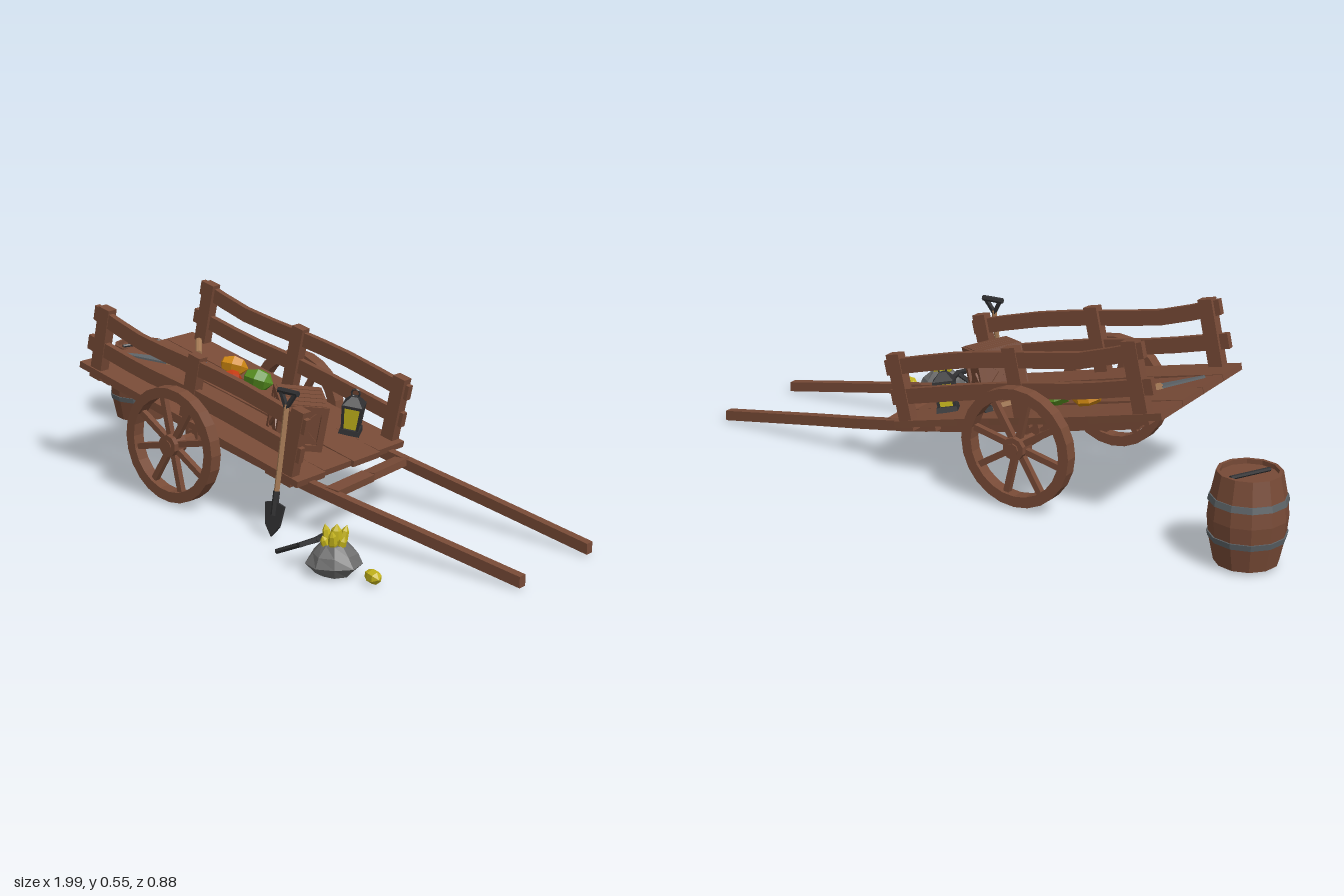
import * as THREE from 'three';

const mat = (name, color) => Object.assign(new THREE.MeshStandardMaterial({ color }), { name });
const V = (x, y, z) => new THREE.Vector3(x, y, z);

export function createModel() {
  const root = new THREE.Group();
  root.name = 'miningCart';
  const wood = mat('wood', 0x774a36), paleWood = mat('paleWood', 0xa57a55);
  const iron = mat('darkIron', 0x303032), steel = mat('steel', 0x5c6266), stone = mat('stone', 0x6b6b6b);
  const yellow = mat('yellow', 0xc4b41c), blue = mat('blue', 0x2b76b8), orange = mat('orange', 0xcc850f);
  const red = mat('red', 0xc23a12), green = mat('green', 0x558c1e);

  // Adds a faceted mesh
  const add = (parent, name, geo, material, x = 0, y = 0, z = 0) => {
    const g = geo.index ? geo.toNonIndexed() : geo;
    g.computeVertexNormals();
    const m = new THREE.Mesh(g, material);
    m.name = name;
    m.position.set(x, y, z);
    parent.add(m);
    return m;
  };
  const box = (parent, name, w, h, d, material, x, y, z) =>
    add(parent, name, new THREE.BoxGeometry(w, h, d), material, x, y, z);
  const group = (parent, name, x = 0, y = 0, z = 0) => {
    const g = new THREE.Group();
    g.name = name;
    g.position.set(x, y, z);
    parent.add(g);
    return g;
  };
  // Centres an object between two points, its y axis along them
  const aim = (obj, a, b) => {
    obj.position.copy(a).add(b).multiplyScalar(0.5);
    obj.quaternion.setFromUnitVectors(V(0, 1, 0), b.clone().sub(a).normalize());
    return obj;
  };
  const strut = (parent, name, a, b, w, d, material) =>
    aim(box(parent, name, w, a.distanceTo(b), d, material), a, b);
  const rod = (parent, name, a, b, r, material, sides = 6) =>
    aim(add(parent, name, new THREE.CylinderGeometry(r, r, a.distanceTo(b), sides), material), a, b);
  // A board bent along a curve running in x
  const board = (parent, name, pts, h, w, material) => {
    const curve = new THREE.CatmullRomCurve3(pts.map(p => V(...p)));
    const g = new THREE.BoxGeometry(1, h, w, 8, 1, 1), p = g.attributes.position;
    for (let i = 0; i < p.count; i++) {
      const c = curve.getPoint(p.getX(i) + 0.5);
      p.setXYZ(i, c.x, c.y + p.getY(i), c.z + p.getZ(i));
    }
    return add(parent, name, g, material);
  };
  const lathe = (pts, sides) => new THREE.LatheGeometry(pts.map(p => new THREE.Vector2(...p)), sides);
  const outline = pts => new THREE.Shape(pts.map(p => new THREE.Vector2(...p)));
  const plate = (shape, depth, curveSegments = 12) => {
    const g = new THREE.ExtrudeGeometry(shape, { depth, bevelEnabled: false, curveSegments });
    return g.translate(0, 0, -depth / 2);
  };
  const crystal = (parent, name, a, b, r, material) => {
    const h = a.distanceTo(b);
    const g = lathe([[0, -h / 2], [r * 0.65, -h * 0.4], [r, -h * 0.05], [r * 0.8, h * 0.28], [0, h / 2]], 6);
    return aim(add(parent, name, g, material), a, b);
  };

  // Tilted cart body
  const cart = group(root, 'cartBody', -0.165, 0.25, -0.045);
  cart.rotation.z = -0.2165;
  [-0.19, -0.063, 0.064, 0.191].forEach((z, i) => {
    const e = i % 2 ? 0.004 : -0.004;
    board(cart, 'bedPlank', [[-0.456, 0, z], [-0.15, e / 2, z + e], [0.15, 0, z - e], [0.456 + e, 0, z]], 0.02, 0.124, wood);
  });
  for (const x of [-0.36, -0.02, 0.34]) box(cart, 'bedCrossBeam', 0.04, 0.022, 0.46, wood, x, -0.02, 0);
  for (const s of [-1, 1]) {
    const z = s * 0.236;
    for (const x of [-0.39, 0, 0.41]) box(cart, 'sidePost', 0.045, 0.235, 0.034, wood, x, 0.095, s * 0.232);
    board(cart, 'topRail', [[-0.43, 0.185, z], [-0.23, 0.165, z], [0, 0.177, z], [0.2, 0.183, z], [0.445, 0.172, z]], 0.046, 0.02, wood);
    board(cart, 'lowerRail', [[-0.44, 0.083, z], [-0.2, 0.078, z], [0.05, 0.088, z], [0.445, 0.082, z]], 0.046, 0.02, wood);
    strut(cart, 'diagonalBrace', V(0.33, -0.025, s * 0.18), V(0, -0.025, s * 0.03), 0.025, 0.02, wood);
  }

  // Shafts and their crossbar
  for (const s of [-1, 1]) {
    const z = d => -0.045 + s * d;
    board(root, 'shaft', [[-0.52, 0.295, z(0.19)], [-0.1, 0.205, z(0.19)], [0.28, 0.132, z(0.189)],
      [0.63, 0.078, z(0.178)], [0.995, 0.021, z(0.165)]], 0.032, 0.027, wood);
  }
  for (const s of [-1, 1])
    strut(root, 'shaftCrossbar', V(0.34, 0.128, -0.045), V(0.34 + s * 0.015, 0.128, -0.045 + s * 0.185), 0.045, 0.022, wood);

  // Wheels and axle
  rod(root, 'axle', V(-0.175, 0.185, -0.36), V(-0.175, 0.185, 0.27), 0.018, wood, 8);
  for (const s of [-1, 1]) {
    const wheel = group(root, 'wheel', -0.175, 0.185, -0.044 + s * 0.286);
    const ring = new THREE.Shape().absarc(0, 0, 0.177, 0, Math.PI * 2);
    ring.holes.push(new THREE.Path().absarc(0, 0, 0.145, 0, Math.PI * 2, true));
    add(wheel, 'wheelRim', plate(ring, 0.04), wood);
    rod(wheel, 'wheelHub', V(0, 0, -0.025), V(0, 0, 0.025), 0.034, wood, 10);
    for (let i = 0; i < 8; i++) {
      const a = (i + 0.3) * Math.PI / 4, c = Math.cos(a), n = Math.sin(a);
      strut(wheel, 'spoke', V(c * 0.02, n * 0.02, 0), V(c * 0.15, n * 0.15, 0), 0.018, 0.018, wood);
    }
    box(root, 'axleBlock', 0.05, 0.06, 0.035, wood, -0.175, 0.215, -0.045 + s * 0.19);
  }

  // Crate with framed, cross-braced sides
  const crate = group(cart, 'crate', 0.268, 0.082, 0.055);
  crate.rotation.y = -0.68;
  box(crate, 'crateCore', 0.128, 0.138, 0.128, wood, 0, 0, 0);
  for (let i = 0; i < 4; i++) {
    const side = group(crate, 'crateSide');
    side.rotation.y = i * Math.PI / 2;
    for (const s of [-1, 1]) {
      box(side, 'crateFrame', 0.146, 0.02, 0.012, wood, 0, s * 0.062, 0.067);
      box(side, 'cratePost', 0.02, 0.144, 0.012, wood, s * 0.063, 0, 0.067);
      strut(side, 'crateBrace', V(-0.053, -s * 0.053, 0.066), V(0.053, s * 0.053, 0.066), 0.016, 0.008, wood);
    }
  }
  for (let i = -2; i <= 2; i++) box(crate, 'crateSlat', 0.024, 0.008, 0.13, wood, i * 0.028, 0.07, 0);

  // Lantern
  const lantern = group(cart, 'lantern', 0.322, 0.01, -0.148);
  lantern.rotation.set(0, 0.5, 0.05);
  const tier = (name, r0, r1, h, y, m) => {
    const g = new THREE.CylinderGeometry(r1, r0, h, 4).rotateY(Math.PI / 4);
    return add(lantern, name, g, m, 0, y, 0);
  };
  tier('lanternBase', 0.046, 0.042, 0.016, 0.008, iron);
  tier('lanternGlass', 0.029, 0.037, 0.07, 0.051, yellow);
  tier('lanternEave', 0.046, 0.046, 0.008, 0.09, iron);
  tier('lanternRoof', 0.044, 0.014, 0.025, 0.106, iron);
  for (const a of [1, 3, 5, 7]) {
    const c = Math.cos(a * Math.PI / 4), n = Math.sin(a * Math.PI / 4);
    strut(lantern, 'lanternBar', V(c * 0.032, 0.012, n * 0.032), V(c * 0.04, 0.09, n * 0.04), 0.008, 0.008, iron);
  }
  add(lantern, 'lanternRing', new THREE.TorusGeometry(0.013, 0.003, 4, 8), iron, 0, 0.128, 0);

  // Gems lying on the bed
  [['blueGem', blue, -0.235, -0.04, 0.09, 0.023, 1.0], ['orangeGem', orange, -0.16, -0.137, 0.092, 0.033, 0.5],
    ['redGem', red, -0.108, -0.073, 0.06, 0.025, 0.9], ['greenGem', green, -0.042, -0.122, 0.1, 0.037, 0.35]
  ].forEach(([name, m, x, z, len, r, a]) => {
    const dx = Math.cos(a) * len / 2, dz = -Math.sin(a) * len / 2;
    crystal(cart, name, V(x - dx, 0.008 + r * 0.8, z - dz), V(x + dx, 0.008 + r * 0.8, z + dz), r, m);
  });

  // Scroll, saw and hatchet on the bed
  rod(cart, 'scroll', V(-0.375, 0.022, -0.195), V(-0.3, 0.022, -0.118), 0.011, paleWood, 8);
  const saw = group(cart, 'handSaw', -0.355, 0.016, 0.035);
  saw.rotation.y = 0.72;
  const sawBlade = outline([[-0.085, -0.008], [0.045, -0.023], [0.045, 0.02], [-0.085, 0.005]]);
  add(saw, 'sawBlade', plate(sawBlade, 0.006).rotateX(-Math.PI / 2), steel);
  box(saw, 'sawHandle', 0.04, 0.014, 0.032, paleWood, 0.062, 0, 0);
  const axe = group(cart, 'hatchet', 0.125, 0.018, -0.13);
  axe.rotation.y = 0.9;
  box(axe, 'hatchetHandle', 0.145, 0.012, 0.013, paleWood, 0, 0, 0);
  const axeHead = outline([[0.045, -0.014], [0.07, -0.014], [0.07, 0.012], [0.082, 0.045], [0.034, 0.045], [0.045, 0.012]]);
  add(axe, 'hatchetHead', plate(axeHead, 0.016).rotateX(Math.PI / 2), iron);

  // Barrel with hoops
  const barrel = group(root, 'barrel', -0.89, 0, -0.33);
  add(barrel, 'barrelStaves', lathe([[0, 0.022], [0.08, 0.022], [0.08, 0.01], [0.088, 0.01], [0.104, 0.085], [0.109, 0.14],
    [0.104, 0.19], [0.089, 0.265], [0.079, 0.265], [0.079, 0.252], [0, 0.252]], 12), wood);
  for (const [y, a, b] of [[0.078, 0.105, 0.109], [0.183, 0.109, 0.105]])
    add(barrel, 'barrelHoop', lathe([[0.09, y], [a, y], [b, y + 0.017], [0.09, y + 0.017]], 12), steel);
  rod(barrel, 'barrelBar', V(-0.035, 0.258, 0.05), V(0.02, 0.264, -0.075), 0.006, iron);

  // Shovel leaning on the cart side
  const shovel = group(root, 'shovel');
  aim(shovel, V(0.247, 0.006, 0.276), V(0.247, 0.425, 0.203));
  const blade = outline([[0, -0.212], [0.026, -0.18], [0.036, -0.118], [0.012, -0.112], [-0.012, -0.112], [-0.036, -0.118], [-0.026, -0.18]]);
  add(shovel, 'shovelBlade', plate(blade, 0.008), iron);
  rod(shovel, 'shovelSocket', V(0, -0.15, 0), V(0, -0.08, 0), 0.01, iron);
  rod(shovel, 'shovelHandle', V(0, -0.08, 0), V(0, 0.17, 0), 0.008, paleWood);
  for (const s of [-1, 1]) strut(shovel, 'shovelFork', V(0, 0.16, 0), V(s * 0.027, 0.205, 0), 0.01, 0.012, iron);
  rod(shovel, 'shovelGrip', V(-0.036, 0.206, 0), V(0.036, 0.206, 0), 0.009, iron);

  // Ore rock with crystals
  const rockGeo = lathe([[0, 0.002], [0.05, 0.002], [0.077, 0.032], [0.062, 0.06], [0.036, 0.086], [0, 0.09]], 9);
  const rp = rockGeo.attributes.position;
  for (let i = 0; i < rp.count; i++) {
    const a = Math.atan2(rp.getZ(i), rp.getX(i)), k = 1 + 0.07 * Math.sin(3 * a + rp.getY(i) * 60);
    rp.setX(i, rp.getX(i) * k);
    rp.setZ(i, rp.getZ(i) * k);
  }
  add(root, 'oreRock', rockGeo, stone, 0.548, 0, 0.36);
  crystal(root, 'oreCrystal', V(0.55, 0.06, 0.36), V(0.555, 0.142, 0.358), 0.018, yellow);
  for (let i = 0; i < 6; i++) {
    const c = Math.cos(i * Math.PI / 3), n = Math.sin(i * Math.PI / 3), top = 0.112 + 0.022 * (i % 2);
    crystal(root, 'oreCrystal', V(0.55 + c * 0.015, 0.06, 0.362 + n * 0.015), V(0.55 + c * 0.034, top, 0.362 + n * 0.037), 0.013, yellow);
  }
  crystal(root, 'looseCrystal', V(0.65, 0.02, 0.343), V(0.71, 0.023, 0.37), 0.021, yellow);

  // Pickaxe leaning on the rock
  rod(root, 'pickHandle', V(0.35, 0.014, 0.37), V(0.5, 0.086, 0.368), 0.008, iron);
  for (const s of [-1, 1])
    strut(root, 'pickHead', V(0.492, 0.084, 0.368), V(0.478, 0.08, 0.368 + s * 0.06), 0.014, 0.012, iron);

  return root;
}
